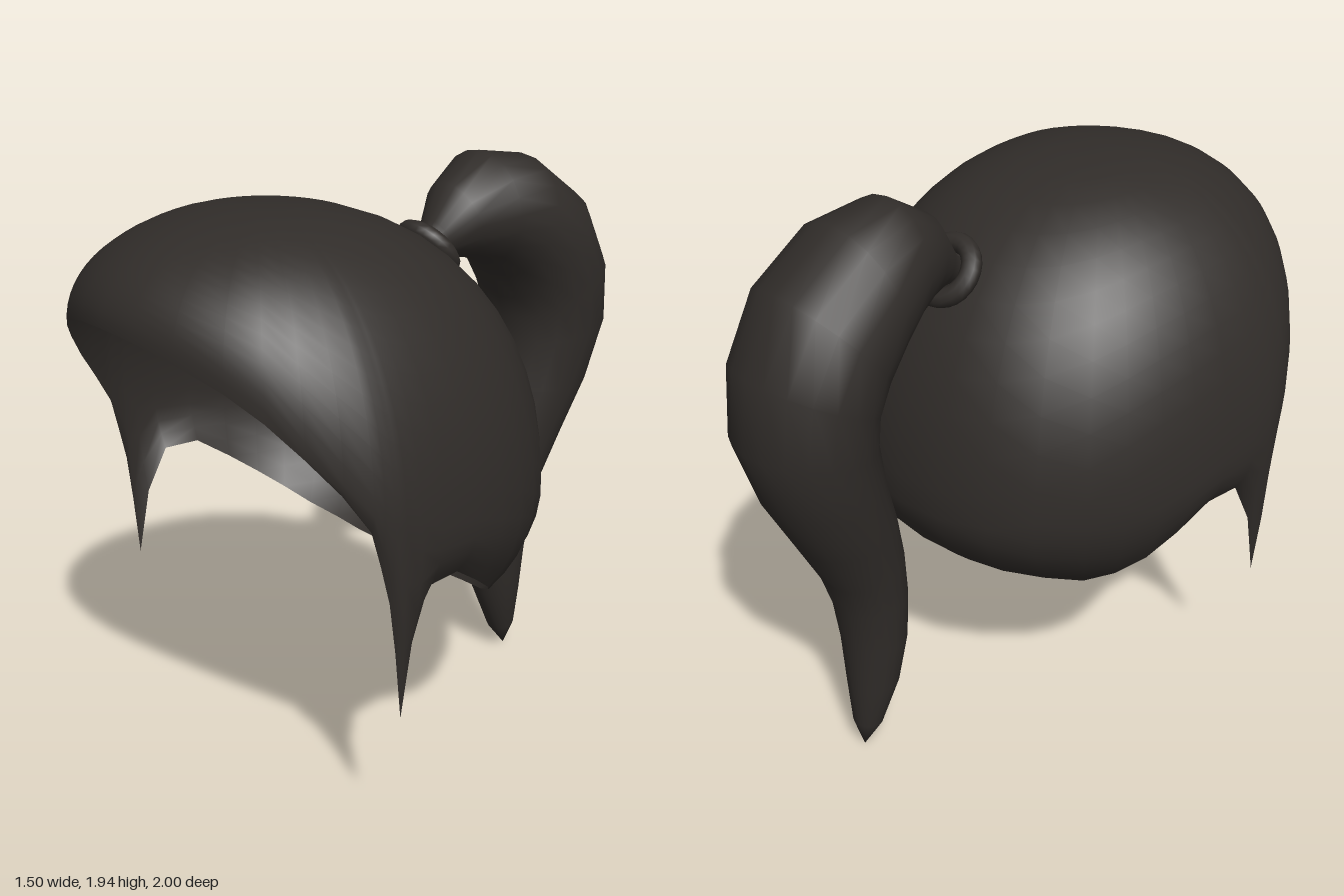
import * as THREE from 'three';
import { mergeVertices } from 'three/addons/utils/BufferGeometryUtils.js';

const hair = new THREE.MeshStandardMaterial({ color: 0x302c29, side: THREE.DoubleSide });

// Smooth surface through closed rings of points, all with the same count
function loft(rings) {
  const n = rings[0].length, index = [];
  for (let r = 0; r < rings.length - 1; r++) {
    for (let c = 0; c < n; c++) {
      const a = r * n + c, b = r * n + (c + 1) % n;
      index.push(a, a + n, b + n, a, b + n, b);
    }
  }
  let geo = new THREE.BufferGeometry();
  geo.setAttribute('position', new THREE.Float32BufferAttribute(rings.flat(2), 3));
  geo.setIndex(index);
  geo = mergeVertices(geo);
  geo.computeVertexNormals();
  return geo;
}

function part(name, geo) {
  const mesh = new THREE.Mesh(geo, hair);
  mesh.name = name;
  return mesh;
}

// Half of the hairline: [angle from front, equator height, rim height, rim radius factor]
const HAIRLINE = [
  [0, 1.61, 1.61, 1], [12, 1.6, 1.6, 1], [24, 1.565, 1.565, 1], [36, 1.505, 1.505, 1],
  [45, 1.435, 1.435, 1], [54, 1.35, 1.34, 0.995], [63, 1.26, 1.235, 0.985],
  [71, 1.18, 1.12, 0.975], [74, 1.15, 1.01, 0.97], [77, 1.12, 0.89, 0.965],
  [79, 1.1, 0.73, 0.965],
  [81, 1.09, 0.51, 0.965],                              // sideburn tip
  [87, 1.06, 0.74, 0.945], [92.5, 1.05, 0.89, 0.925], [100, 1.04, 0.89, 0.92],
  [108, 1.02, 0.81, 0.905], [116, 1.0, 0.735, 0.885], [124, 0.99, 0.675, 0.845],
  [133, 0.98, 0.625, 0.79], [145, 0.965, 0.595, 0.72], [157, 0.955, 0.575, 0.67],
  [169, 0.95, 0.57, 0.645], [180, 0.95, 0.565, 0.637],
];

const power = (v, p) => Math.sign(v) * Math.abs(v) ** p;

// Domed shell: meridians run from the crown over the equator to the hairline
function capGeometry() {
  const mirrored = HAIRLINE.slice(1, -1).reverse().map(([a, ...rest]) => [360 - a, ...rest]);
  const columns = [...HAIRLINE, ...mirrored];
  const rows = 18, top = 1.88, rings = [];
  for (let r = 0; r <= rows; r++) {
    rings.push(columns.map(([deg, equator, rim, factor]) => {
      const a = THREE.MathUtils.degToRad(deg), front = Math.cos(a) > 0;
      const end = Math.PI - Math.asin(factor), t = end * r / rows;
      const cos = Math.cos(t), above = cos >= 0 || factor === 1;
      const y = above
        ? equator + (top - equator) * cos
        : equator + (rim - equator) * cos / Math.cos(end);
      // Fuller than an ellipse at the sides and back
      const full = 0.8 + (front ? 0.2 : 0.08) * Math.cos(a) ** 2;
      const s = Math.sin(t) ** (above ? full : 1);
      const plan = front ? 1.1 : 0.88, depth = front ? 0.54 : 0.91;
      return [
        0.75 * power(Math.sin(a), plan) * s, y,
        0.46 + depth * power(Math.cos(a), plan) * s,
      ];
    }));
  }
  return loft(rings);
}

// Ponytail sections: [outer z, outer y, inner z, inner y, half width]
const TAIL = [
  [-0.14, 1.66, -0.2, 1.59, 0.045],
  [-0.18, 1.68, -0.24, 1.61, 0.05], [-0.22, 1.74, -0.3, 1.605, 0.075],
  [-0.29, 1.85, -0.38, 1.59, 0.13], [-0.44, 1.94, -0.46, 1.56, 0.195],
  [-0.64, 1.91, -0.52, 1.5, 0.235], [-0.85, 1.77, -0.56, 1.42, 0.245],
  [-0.97, 1.56, -0.58, 1.35, 0.24], [-1.0, 1.33, -0.58, 1.25, 0.225],
  [-0.93, 1.1, -0.55, 1.09, 0.2], [-0.83, 0.9, -0.51, 0.95, 0.17],
  [-0.75, 0.74, -0.48, 0.79, 0.145], [-0.71, 0.61, -0.465, 0.62, 0.127],
  [-0.69, 0.45, -0.47, 0.45, 0.113], [-0.685, 0.27, -0.505, 0.27, 0.088],
  [-0.68, 0.11, -0.58, 0.09, 0.05], [-0.65, 0, -0.65, 0, 0],
];

function tailGeometry() {
  const sides = 20;
  return loft(TAIL.map(([oz, oy, iz, iy, w]) => Array.from({ length: sides }, (_, i) => {
    const a = i / sides * Math.PI * 2, k = Math.cos(a) / 2;
    return [-w * Math.sin(a), (oy + iy) / 2 + (oy - iy) * k, (oz + iz) / 2 + (oz - iz) * k];
  })));
}

export function createModel() {
  const group = new THREE.Group();
  group.name = 'ponytailHair';
  group.add(part('hairCap', capGeometry()), part('ponytail', tailGeometry()));

  // Band at the root of the ponytail, facing up and back
  const tie = part('hairTie', new THREE.TorusGeometry(0.09, 0.032, 10, 24));
  tie.position.set(0, 1.645, -0.217);
  tie.quaternion.setFromUnitVectors(
    new THREE.Vector3(0, 0, 1), new THREE.Vector3(0, 0.64, -0.77).normalize());
  group.add(tie);
  return group;
}
